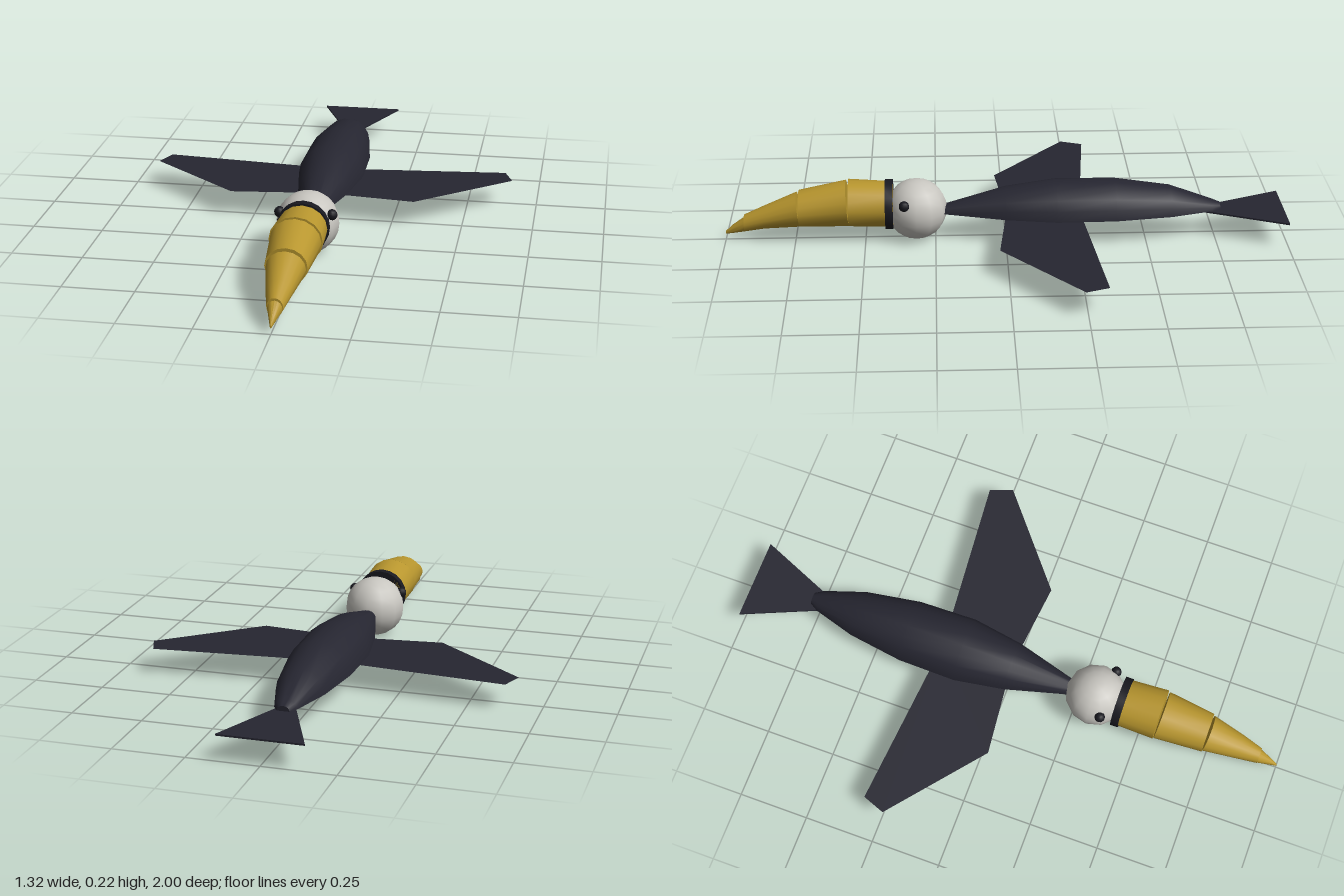
import * as THREE from 'three';
import { toCreasedNormals } from 'three/addons/utils/BufferGeometryUtils.js';

const mat = (name, color, side = THREE.FrontSide) => {
  const m = new THREE.MeshStandardMaterial({ color, side });
  m.name = name;
  return m;
};

// Skin closed cross-sections [z, bottom, top, halfWidth, tilt], ordered by rising z.
// A dome section has a flat underside; otherwise it is a full ellipse.
function loft(rings, sides, dome = false) {
  const pos = [], idx = [], count = rings.length;
  for (const [z, bottom, top, w, tilt = 0] of rings) {
    const h = dome ? top - bottom : (top - bottom) / 2;
    const mid = dome ? bottom : (top + bottom) / 2;
    for (let j = 0; j < sides; j++) {
      const a = dome ? Math.PI * j / (sides - 1) : 2 * Math.PI * j / sides;
      pos.push(w * Math.cos(a), mid + h * Math.sin(a), z + tilt * Math.sin(a));
    }
  }
  for (let i = 0; i < count - 1; i++) {
    for (let j = 0; j < sides; j++) {
      const k = (j + 1) % sides;
      const a = i * sides + j, b = i * sides + k, c = a + sides, d = b + sides;
      idx.push(a, b, c, b, d, c);
    }
  }
  // End caps
  const last = (count - 1) * sides;
  for (let j = 1; j < sides - 1; j++) {
    idx.push(0, j + 1, j, last, last + j, last + j + 1);
  }
  const g = new THREE.BufferGeometry();
  g.setAttribute('position', new THREE.Float32BufferAttribute(pos, 3));
  g.setIndex(idx);
  return toCreasedNormals(g, 0.65);
}

// Flat outline given as [x, z], laid horizontally
function flatShape(points) {
  return new THREE.Shape(points.map(([x, z]) => new THREE.Vector2(x, -z)));
}

export function createModel() {
  const group = new THREE.Group();
  const plumage = mat('dark plumage', 0x262631);
  const wingDark = mat('wing plumage', 0x262631, THREE.DoubleSide);
  const gold = mat('beak gold', 0xb8962e);
  const pale = mat('pale head', 0xc8c6c0);
  const black = mat('black trim', 0x191920);

  const add = (name, geometry, material, x = 0, y = 0, z = 0) => {
    const m = new THREE.Mesh(geometry, material);
    m.name = name;
    m.position.set(x, y, z);
    group.add(m);
    return m;
  };

  // Body: half-round with a flat belly
  add('body', loft([
    [-0.77, 0.097, 0.115, 0.022],
    [-0.74, 0.097, 0.126, 0.04],
    [-0.59, 0.097, 0.18, 0.085],
    [-0.39, 0.097, 0.207, 0.115],
    [-0.18, 0.097, 0.207, 0.119],
    [0, 0.097, 0.183, 0.09],
    [0.22, 0.097, 0.122, 0.03],
  ], 10, true), plumage);

  // Wings: single flat sheets
  for (const s of [1, -1]) {
    const outline = [[0, -0.005], [0.33, 0.03], [0.66, -0.24], [0.63, -0.32], [0, -0.265]];
    const g = new THREE.ShapeGeometry(flatShape(outline.map(([x, z]) => [s * x, z])));
    g.rotateX(-Math.PI / 2);
    add(s > 0 ? 'leftWing' : 'rightWing', g, wingDark, 0, 0.092, 0);
  }

  // Tail: thin triangular fan
  const tail = new THREE.ExtrudeGeometry(
    flatShape([[0, -0.655], [0.147, -1], [-0.147, -1]]), { depth: 0.006, bevelEnabled: false });
  tail.rotateX(-Math.PI / 2);
  add('tail', tail, plumage, 0, 0.086, 0);

  // Head and eyes
  add('head', new THREE.SphereGeometry(0.109, 12, 12), pale, 0, 0.109, 0.317);
  for (const s of [1, -1]) {
    add(s > 0 ? 'leftEye' : 'rightEye', new THREE.SphereGeometry(0.019, 10, 8), black, s * 0.09, 0.156, 0.36);
  }

  // Collar between head and beak
  const collar = new THREE.CylinderGeometry(0.09, 0.09, 0.028, 20);
  collar.rotateX(Math.PI / 2);
  add('collar', toCreasedNormals(collar, 0.65), black, 0, 0.127, 0.414);

  // Beak: overlapping tapered segments with notches along the top
  const segments = [
    [[0.4, 0.047, 0.208, 0.084], [0.558, 0.052, 0.219, 0.091]],
    [[0.562, 0.052, 0.216, 0.087, 0.006], [0.735, 0.051, 0.181, 0.071]],
    [[0.737, 0.051, 0.174, 0.066, 0.008], [0.86, 0.043, 0.125, 0.043], [0.932, 0.031, 0.093, 0.027]],
    [[0.93, 0.031, 0.086, 0.025], [0.975, 0.024, 0.055, 0.011], [1, 0.021, 0.031, 0.003]],
  ];
  segments.forEach((rings, i) => add('beakSegment' + (i + 1), loft(rings, 16), gold));

  return group;
}
